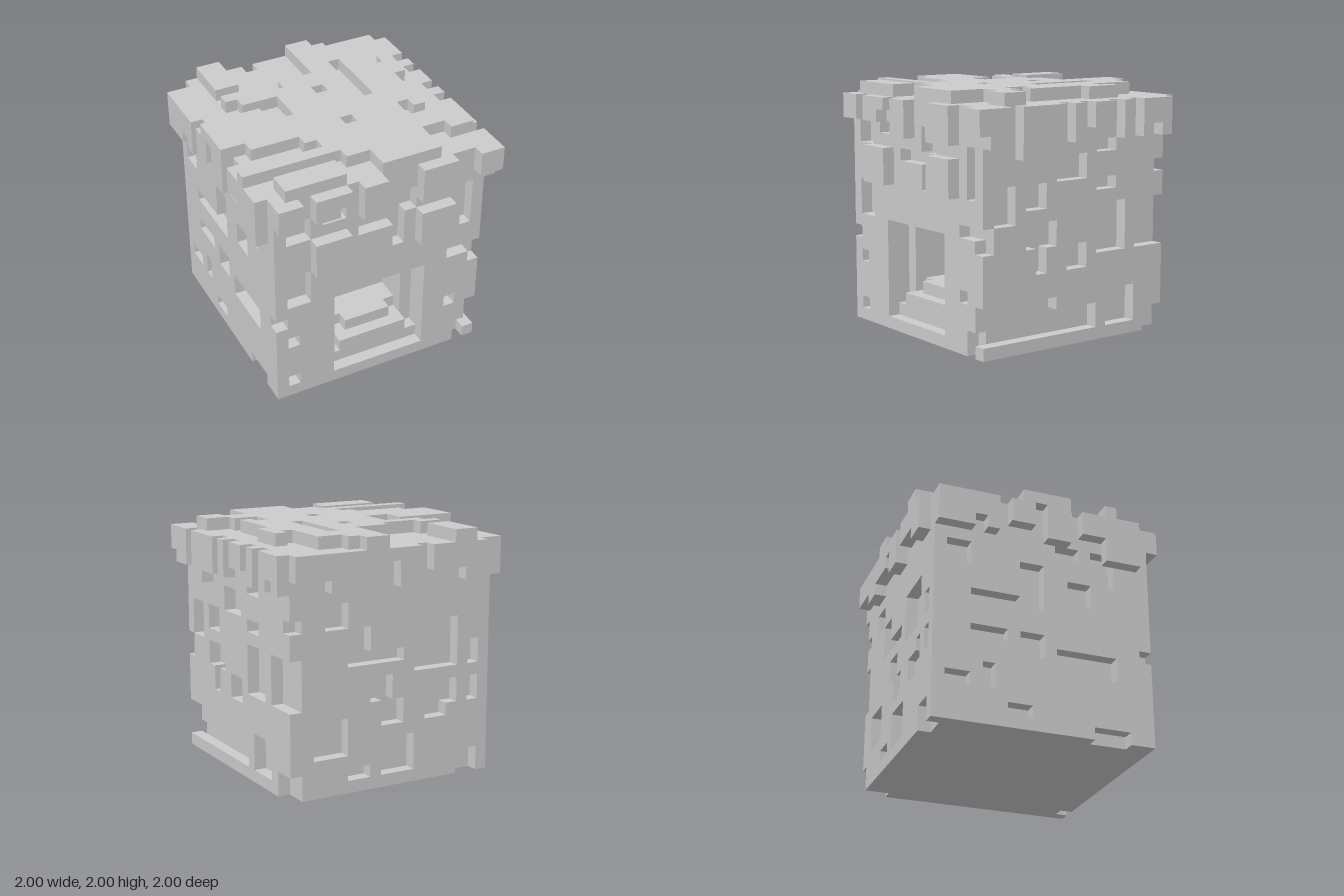
import * as THREE from 'three';

const N = 20, UNIT = 0.1;
const WALLS = 1, EAVES = 2, MOSS = 3, STEPS = 4;

export function createModel() {
  const cells = new Uint8Array(N * N * N);
  const at = (x, y, z) => (x * N + y) * N + z;
  const get = (p) => (p.some((c) => c < 0 || c >= N) ? 0 : cells[at(...p)]);
  // Fill (or clear with 0) a block; x and z run -10..10, y runs 0..20
  const block = (id, x0, x1, y0, y1, z0, z1) => {
    for (let x = x0; x < x1; x++)
      for (let y = y0; y < y1; y++)
        for (let z = z0; z < z1; z++) cells[at(x + 10, y, z + 10)] = id;
  };

  // Solid cube of walls
  block(WALLS, -9, 9, 0, 19, -9, 9);

  // Missing stones in each wall: [from, to, bottom, top]
  const front = [
    [-8, -6, 9, 12], [-8, -6, 15, 17], [-5, -3, 16, 17], [-2, 2, 14, 15], [1, 2, 12, 14],
    [1, 3, 15, 17], [7, 8, 12, 16], [6, 9, 9, 10], [8, 9, 8, 9], [-9, -8, 7, 8],
    [-8, -7, 5, 6], [-8, -7, 1, 2], [6, 7, 4, 5], [7, 8, 0, 2],
  ];
  const left = [
    [6, 8, 10, 13], [3, 5, 11, 13], [-1, 2, 13, 15], [-4, -2, 12, 13], [-4, -2, 15, 16],
    [2, 5, 8, 10], [3, 4, 6, 8], [-1, 1, 6, 8], [-5, -2, 7, 11], [-8, -6, 7, 11],
    [-9, -8, 9, 11], [-9, -8, 7, 9], [-9, -8, 13, 14], [-6, -3, 1, 4], [-9, -7, 0, 2],
    [2, 9, 1, 4], [-2, 2, 1, 3],
  ];
  const back = [
    [4, 7, 3, 6], [2, 4, 1, 2], [-2, 1, 1, 4], [0, 2, 7, 9], [-1, 1, 5, 7],
    [-6, -2, 9, 13], [2, 4, 10, 13], [-1, 2, 10, 11], [4, 6, 13, 15], [-5, -3, 5, 7],
    [-6, -5, 6, 8], [-8, -7, 9, 11], [-8, -7, 6, 8], [-8, -6, 0, 2],
  ];
  const right = [
    [-8, -6, 13, 15], [-6, 0, 10, 11], [-2, 0, 11, 14], [-6, -3, 7, 8], [-2, 0, 6, 8],
    [1, 6, 5, 7], [-8, -6, 3, 4], [-5, -4, 3, 5], [-3, -1, 1, 2], [2, 4, 11, 13],
    [1, 3, 15, 16], [4, 6, 13, 16], [4, 7, 0, 1],
  ];
  front.forEach(([a, b, c, d]) => block(0, a, b, c, d, 8, 9));
  back.forEach(([a, b, c, d]) => block(0, a, b, c, d, -9, -8));
  left.forEach(([a, b, c, d]) => block(0, 8, 9, c, d, a, b));
  right.forEach(([a, b, c, d]) => block(0, -9, -8, c, d, a, b));

  // Two stones standing proud of the front wall
  block(WALLS, -6, -3, 12, 15, 9, 10);
  block(WALLS, 3, 6, 12, 15, 9, 10);

  // Doorway, inner room and niche
  block(0, -4, 4, 1, 9, 7, 9);
  block(0, -3, 3, 3, 9, 4, 7);
  block(0, -1, 2, 7, 9, 3, 4);

  // Entrance steps and raised floor
  block(STEPS, -4, 4, 1, 2, 7, 8);
  block(STEPS, -3, 3, 2, 3, 7, 8);
  block(STEPS, -2, 2, 3, 4, 6, 7);
  block(STEPS, -3, 3, 3, 4, 4, 6);

  // Ragged eaves hanging over the walls: [from, to, bottom]
  [[-9, -7, 17], [-6, -4, 17], [-4, -3, 18], [-2, 0, 16], [3, 6, 16], [8, 10, 17]]
    .forEach(([a, b, y]) => block(EAVES, a, b, y, 19, 9, 10));
  [[-8, -6, 16], [-6, -3, 17], [-2, 0, 16], [0, 1, 18], [1, 4, 17], [4, 6, 16], [6, 9, 17]]
    .forEach(([a, b, y]) => block(EAVES, a, b, y, 19, -10, -9));
  [[-9, -8, 16], [-8, -7, 17], [-7, -6, 16], [-5, -4, 16], [-3, -1, 17], [0, 1, 16],
    [2, 4, 16], [4, 6, 15], [7, 9, 16], [9, 10, 17]]
    .forEach(([a, b, y]) => block(EAVES, 9, 10, y, 19, a, b));
  [[-9, -6, 16], [-6, -5, 17], [-5, -4, 16], [-3, -1, 17], [0, 2, 16], [3, 5, 17], [5, 8, 15]]
    .forEach(([a, b, y]) => block(EAVES, -10, -9, y, 19, a, b));

  // Raised roof layer in strips: [x from, x to, z from, z to]
  [
    [1, 3, -10, -9], [1, 4, -9, -8], [1, 6, -8, -5], [-2, 6, -5, -4], [7, 8, -5, -4],
    [-7, -5, -5, -4], [-6, 8, -4, -3], [-3, 8, -3, -2], [-3, 7, -2, 0], [-10, -5, -2, 0],
    [-10, 7, 0, 2], [-8, 5, 2, 3], [6, 7, 2, 3], [-4, 5, 3, 4], [-3, 7, 4, 5],
    [-10, 9, 5, 6], [-2, 5, 6, 7], [7, 9, 6, 7], [0, 5, 7, 9],
    [-7, -5, -10, -6], [-8, -3, 7, 9],
  ].forEach(([a, b, c, d]) => block(MOSS, a, b, 19, 20, c, d));
  // Slots through the raised layer
  [[3, 4, -6, 0], [0, 1, -3, -2], [0, 1, 2, 3]]
    .forEach(([a, b, c, d]) => block(0, a, b, 19, 20, c, d));

  // Skin of one part: a square wherever a cell meets empty space
  const skin = (id) => {
    const pos = [], nor = [], idx = [];
    for (let x = 0; x < N; x++) for (let y = 0; y < N; y++) for (let z = 0; z < N; z++) {
      const p = [x, y, z];
      if (get(p) !== id) continue;
      for (let d = 0; d < 3; d++) for (const s of [1, -1]) {
        const next = [...p];
        next[d] += s;
        if (get(next)) continue;
        const n = [0, 0, 0], base = pos.length / 3;
        n[d] = s;
        for (const [u, v] of [[0, 0], [1, 0], [1, 1], [0, 1]]) {
          const c = [...p];
          c[d] += s > 0 ? 1 : 0;
          c[(d + 1) % 3] += u;
          c[(d + 2) % 3] += v;
          pos.push((c[0] - 10) * UNIT, c[1] * UNIT, (c[2] - 10) * UNIT);
          nor.push(...n);
        }
        const order = s > 0 ? [0, 1, 2, 0, 2, 3] : [0, 2, 1, 0, 3, 2];
        idx.push(...order.map((i) => base + i));
      }
    }
    const g = new THREE.BufferGeometry();
    g.setAttribute('position', new THREE.Float32BufferAttribute(pos, 3));
    g.setAttribute('normal', new THREE.Float32BufferAttribute(nor, 3));
    g.setIndex(idx);
    return g;
  };

  const group = new THREE.Group();
  group.name = 'stoneHut';
  const material = new THREE.MeshStandardMaterial({ color: 0xcccccc, flatShading: true });
  [[WALLS, 'walls'], [EAVES, 'eaves'], [MOSS, 'raisedRoof'], [STEPS, 'entranceSteps']]
    .forEach(([id, name]) => {
      const mesh = new THREE.Mesh(skin(id), material);
      mesh.name = name;
      group.add(mesh);
    });
  return group;
}
